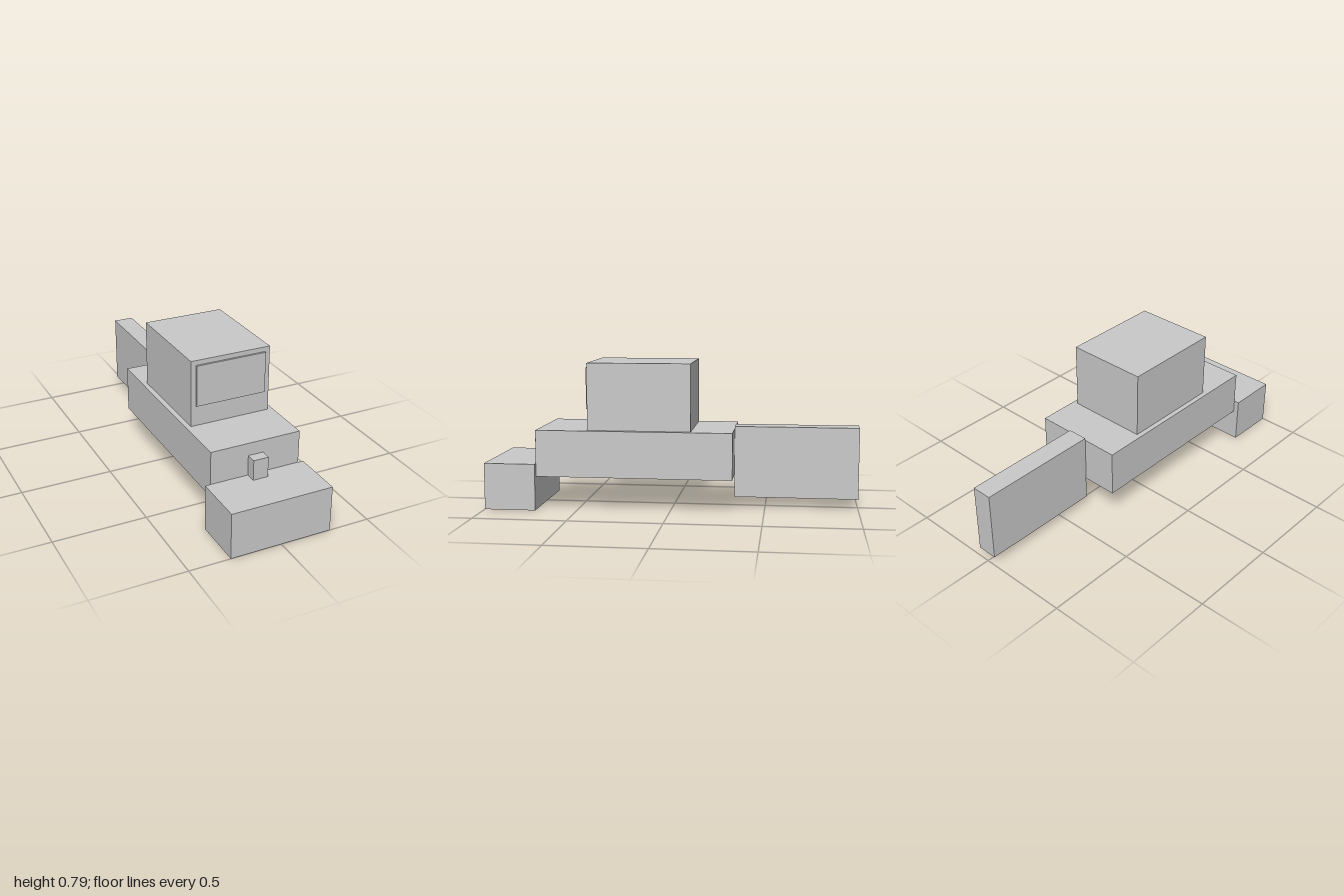
import * as THREE from 'three';

export function createModel() {
  const group = new THREE.Group();
  group.name = 'blockVehicle';
  const grey = new THREE.MeshStandardMaterial({ color: 0xc8c8c8 });
  grey.name = 'light grey';

  // Box centred on x, given its width and its y and z ranges
  function block(name, width, y0, y1, z0, z1) {
    const mesh = new THREE.Mesh(new THREE.BoxGeometry(width, y1 - y0, z1 - z0), grey);
    mesh.position.set(0, (y0 + y1) / 2, (z0 + z1) / 2);
    mesh.name = name;
    group.add(mesh);
  }

  // Main hull and raised cabin with its front panel
  block('hull', 0.497, 0.18, 0.431, -0.333, 0.722);
  block('cabin', 0.443, 0.431, 0.791, -0.11, 0.445);
  block('frontPanel', 0.388, 0.542, 0.765, 0.445, 0.455);

  // Low front block with a small post standing on it
  block('frontBlock', 0.555, 0, 0.251, 0.722, 1);
  block('post', 0.083, 0.251, 0.362, 0.722, 0.778);

  // Thin strip under the hull
  block('undersideStrip', 0.083, 0.167, 0.18, 0.115, 0.722);

  // Upright fin at the rear
  block('rearFin', 0.111, 0.056, 0.443, -1, -0.333);

  return group;
}
